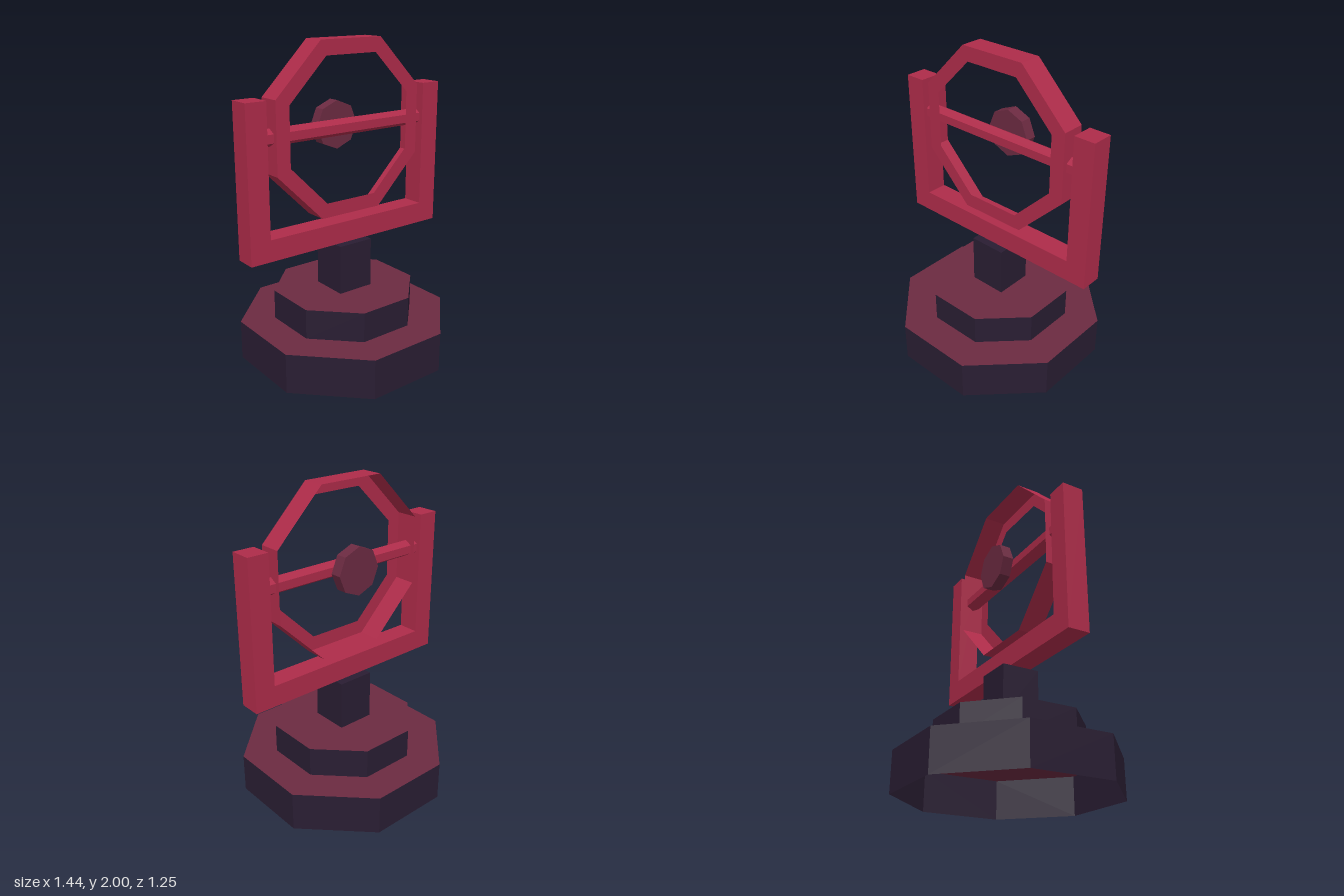
import * as THREE from 'three';

// both sides show because the base and the ring are open shells
const paint = (name, hex) => {
  const m = new THREE.MeshStandardMaterial({ color: hex, side: THREE.DoubleSide });
  m.name = name;
  return m;
};

export function createModel() {
  const model = new THREE.Group();
  model.name = 'gimbalStand';
  const red = paint('crimson', 0xad2b49);
  const plum = paint('plum', 0x6b2a41);
  const dark = paint('darkViolet', 0x291d32);

  const add = (name, geometry, material, x = 0, y = 0, z = 0) => {
    // unshared vertices give every facet its own flat normal
    const flat = geometry.index ? geometry.toNonIndexed() : geometry;
    flat.computeVertexNormals();
    const mesh = new THREE.Mesh(flat, material);
    mesh.name = name;
    mesh.position.set(x, y, z);
    model.add(mesh);
  };

  // octagons have flat sides facing the axes and are sized by half width
  const radius = (half) => half / Math.cos(Math.PI / 8);
  const octagon = (half) => Array.from({ length: 8 }, (_, i) => {
    const a = Math.PI / 8 + i * Math.PI / 4;
    return new THREE.Vector2(radius(half) * Math.cos(a), radius(half) * Math.sin(a));
  });
  const octagonWall = (half, height) =>
    new THREE.CylinderGeometry(radius(half), radius(half), height, 8, 1, true).rotateY(Math.PI / 8);

  // stepped octagonal base, hollow from below: dark walls, plum tops
  const tier = (name, half, bottom, top) => {
    add(name + 'Wall', octagonWall(half, top - bottom), dark, 0, (bottom + top) / 2, 0);
    add(name + 'Top', new THREE.ShapeGeometry(new THREE.Shape(octagon(half))).rotateX(-Math.PI / 2),
      plum, 0, top, 0);
  };
  tier('lowerBase', 0.627, 0, 0.252);
  tier('upperBase', 0.423, 0.252, 0.441);

  // square post
  add('post', new THREE.BoxGeometry(0.242, 0.314, 0.242), dark, 0, 0.598, 0);

  // U-shaped yoke
  const yoke = new THREE.Shape([
    [-0.718, 0.755], [0.718, 0.755], [0.718, 1.693], [0.584, 1.693],
    [0.584, 0.89], [-0.584, 0.89], [-0.584, 1.693], [-0.718, 1.693],
  ].map(([x, y]) => new THREE.Vector2(x, y)));
  add('yoke', new THREE.ExtrudeGeometry(yoke, { depth: 0.138, bevelEnabled: false }),
    red, 0, 0, -0.069);

  // octagonal ring: a front face and an outer wall, open at the back
  const hubY = 1.472;
  const face = new THREE.Shape(octagon(0.528));
  face.holes.push(new THREE.Path(octagon(0.438).reverse()));
  add('ringFace', new THREE.ShapeGeometry(face), red, 0, hubY, 0.072);
  add('ringWall', octagonWall(0.528, 0.144).rotateX(Math.PI / 2), red, 0, hubY, 0);

  // hexagonal axle, one edge upward
  add('axle', new THREE.CylinderGeometry(0.052, 0.052, 1.19, 6)
    .rotateY(Math.PI / 2).rotateZ(Math.PI / 2), red, 0, hubY, 0);

  // octagonal disc behind the axle
  add('disc', new THREE.CylinderGeometry(0.151, 0.151, 0.072, 8).rotateX(Math.PI / 2),
    plum, 0, hubY, -0.105);

  return model;
}
